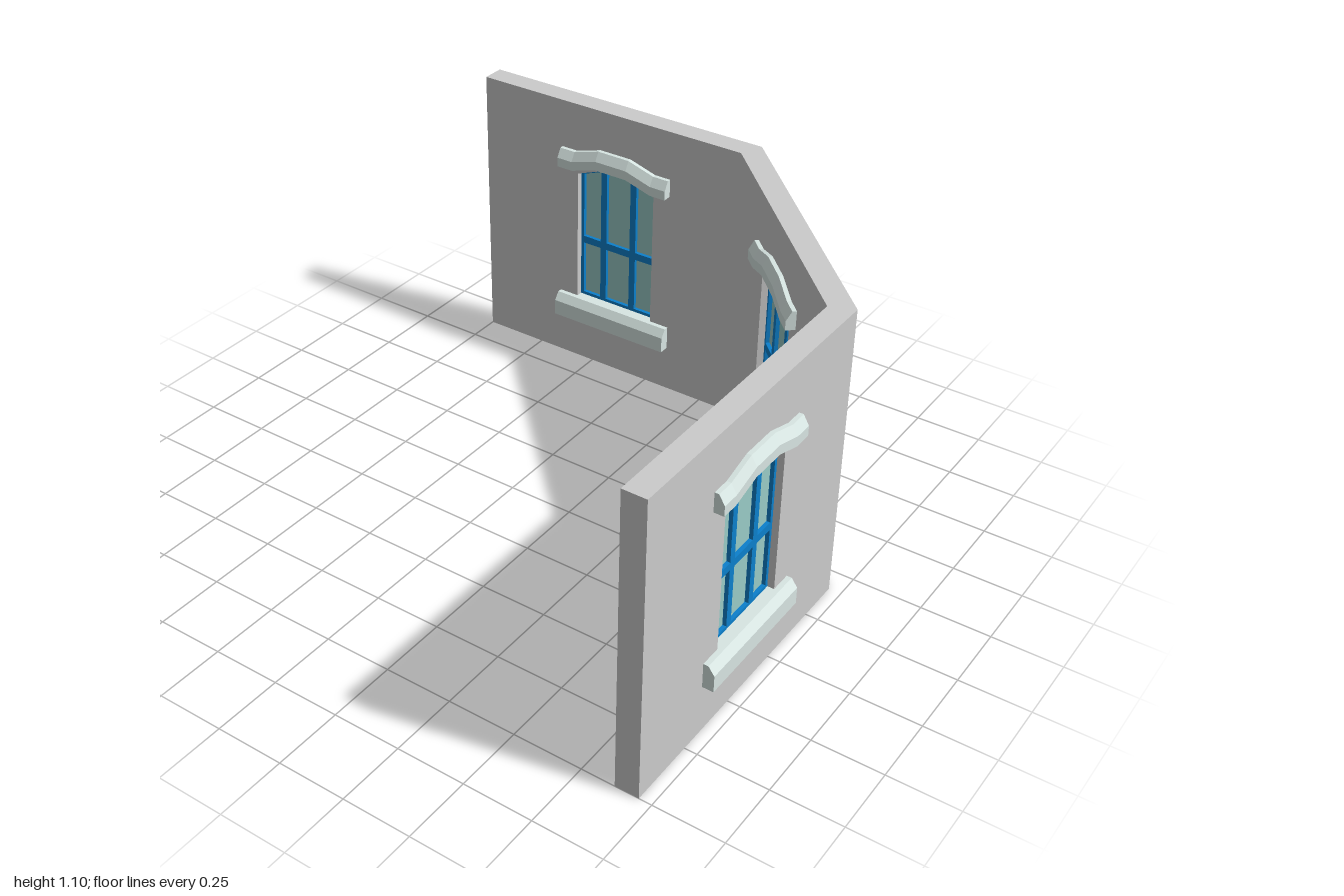
import * as THREE from 'three';

const HEIGHT = 1.095, HALF = 0.0425;         // wall height and half thickness
const MITRE = Math.tan(Math.PI / 8);
const MID = 0.9125, BEND = 0.1425;           // wall centre line and its corner
const W = 0.17, SILL_Y = 0.27;               // window half width and bottom

const wallMat = new THREE.MeshStandardMaterial({ color: 0xcccccc });
const stoneMat = new THREE.MeshStandardMaterial({ color: 0xd8e6e3 });
const frameMat = new THREE.MeshStandardMaterial({ color: 0x0c80cc });
const glassMat = new THREE.MeshStandardMaterial({ color: 0x99cbc7 });

// height of the three-sided window head
const headY = (u) => 0.848 - 0.038 * Math.max(0, (Math.abs(u) - 0.07) / 0.1);

// outline between two u positions, topped by the window head
function headed(Base, u0, u1, y0, drop = 0) {
  const us = [u0, -0.07, 0.07, u1].filter((u) => u >= u0 && u <= u1);
  const pts = [[u0, y0], [u1, y0], ...us.reverse().map((u) => [u, headY(u) - drop])];
  return new Base(pts.map(([x, y]) => new THREE.Vector2(x, y)));
}

function rectPath(u0, u1, y0, y1) {
  return new THREE.Path([[u0, y0], [u1, y0], [u1, y1], [u0, y1]].map(([x, y]) => new THREE.Vector2(x, y)));
}

function slab(shape, thickness) {
  return new THREE.ExtrudeGeometry(shape, { depth: thickness, bevelEnabled: false }).translate(0, 0, -thickness / 2);
}

function part(name, geometry, material) {
  const mesh = new THREE.Mesh(geometry, material);
  mesh.name = name;
  return mesh;
}

// wall panel with a window opening and optional mitred ends
function wallGeometry(u0, u1, mitreStart, mitreEnd) {
  const shape = new THREE.Shape(rectPath(u0, u1, 0, HEIGHT).getPoints());
  shape.holes.push(headed(THREE.Path, -W, W, SILL_Y));
  const g = slab(shape, HALF * 2);
  const p = g.attributes.position;
  for (let i = 0; i < p.count; i++) {
    const u = p.getX(i), shift = MITRE * p.getZ(i);
    if (mitreStart && Math.abs(u - u0) < 1e-4) p.setX(i, u - shift);
    if (mitreEnd && Math.abs(u - u1) < 1e-4) p.setX(i, u + shift);
  }
  g.computeVertexNormals();
  return g;
}

// stone moulding with chamfered upper edges, lifted at each station along u
function moulding(depth, chamfer, yEdge, yTop, y0, stations) {
  const d = depth, c = depth - chamfer;
  const profile = new THREE.Shape(
    [[-d, 0], [d, 0], [d, yEdge], [c, yTop], [-c, yTop], [-d, yEdge]].map(([x, y]) => new THREE.Vector2(x, y)));
  const steps = stations.length - 1;
  const g = new THREE.ExtrudeGeometry(profile, { depth: steps, steps, bevelEnabled: false }).rotateY(Math.PI / 2);
  const p = g.attributes.position;
  for (let i = 0; i < p.count; i++) {
    const [u, lift] = stations[Math.round(p.getX(i))];
    p.setXYZ(i, u, p.getY(i) + y0 + lift, p.getZ(i));
  }
  g.computeVertexNormals();
  return g;
}

function frameGeometry() {
  const shape = headed(THREE.Shape, -W, W, SILL_Y);
  for (const [a, b] of [[-0.157, -0.079], [-0.053, 0.053], [0.079, 0.157]]) {
    shape.holes.push(rectPath(a, b, 0.287, 0.506));
    shape.holes.push(headed(THREE.Path, a, b, 0.535, 0.012));
  }
  return slab(shape, 0.036);
}

export function createModel() {
  const model = new THREE.Group();
  model.name = 'bayWall';

  const sill = moulding(0.0825, 0.022, 0.062, 0.092, 0.183, [[-0.25, 0], [0.25, 0]]);
  const lintel = moulding(0.078, 0.02, 0.036, 0.07, 0.835,
    [[-0.24, 0], [-0.175, 0], [-0.067, 0.032], [0.067, 0.032], [0.175, 0], [0.24, 0]]);
  const frame = frameGeometry();
  const glass = slab(headed(THREE.Shape, -W + 0.005, W - 0.005, SILL_Y + 0.005, 0.005), 0.008);

  // each section is centred on its window
  const uL = -0.413, zR = -0.403;
  const diag = (MID - BEND) * Math.SQRT1_2, centre = (MID + BEND) / 2;
  const sections = [
    { name: 'frontSection', x: uL, z: MID, turn: 0, wall: [-1 - uL, BEND - uL, false, true] },
    { name: 'cornerSection', x: centre, z: centre, turn: Math.PI / 4, wall: [-diag, diag, true, true] },
    { name: 'sideSection', x: MID, z: zR, turn: Math.PI / 2, wall: [zR - BEND, zR + 1, true, false] },
  ];
  for (const s of sections) {
    const group = new THREE.Group();
    group.name = s.name;
    group.add(
      part('wall', wallGeometry(...s.wall), wallMat),
      part('windowFrame', frame, frameMat),
      part('windowGlass', glass, glassMat),
      part('windowSill', sill, stoneMat),
      part('windowLintel', lintel, stoneMat));
    group.position.set(s.x, 0, s.z);
    group.rotation.y = s.turn;
    model.add(group);
  }
  return model;
}
